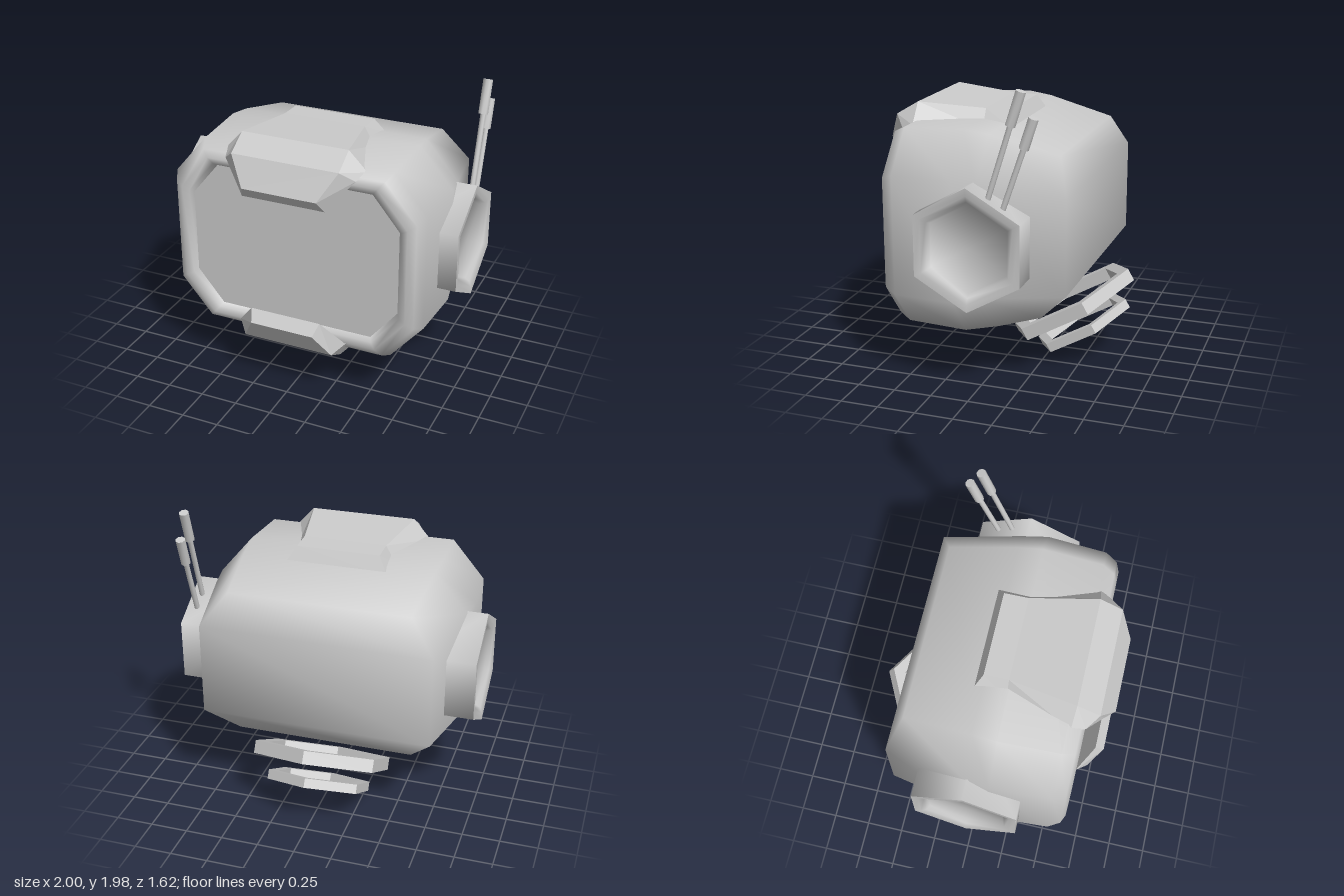
import * as THREE from 'three';
import { toCreasedNormals } from 'three/addons/utils/BufferGeometryUtils.js';

const smooth = new THREE.MeshStandardMaterial({ color: 0xcccccc });
const flat = new THREE.MeshStandardMaterial({ color: 0xcccccc, flatShading: true });

// Skins rings of [x, y, z] points, ordered back to front, counter-clockwise seen from +z.
function loft(rings, caps = []) {
  const n = rings[0].length;
  const index = [...caps];
  for (let i = 0; i < rings.length - 1; i++) {
    for (let j = 0; j < n; j++) {
      const a = i * n + j, b = i * n + (j + 1) % n;
      index.push(a, b, b + n, a, b + n, a + n);
    }
  }
  const g = new THREE.BufferGeometry();
  g.setAttribute('position', new THREE.Float32BufferAttribute(rings.flat(2), 3));
  g.setIndex(index);
  g.computeVertexNormals();
  return g;
}

// Chamfered rectangle; the side, top and bottom corners may sit at different depths.
function octagon(w, top, bot, cx, cy, z, zTop = z, zBot = z) {
  const x = w - cx;
  return [
    [w, bot + cy, z], [w, top - cy, z], [x, top, zTop], [-x, top, zTop],
    [-w, top - cy, z], [-w, bot + cy, z], [-x, bot, zBot], [x, bot, zBot],
  ];
}

function add(parent, name, geometry, material) {
  const mesh = new THREE.Mesh(geometry, material);
  mesh.name = name;
  parent.add(mesh);
  return mesh;
}

// Brim sections: outer z, y, half width, then base z, y, half width
const BRIM = [
  [-0.03, 1.715, 0.28, -0.09, 1.60, 0.35],
  [0.13, 1.72, 0.28, 0.13, 1.60, 0.35],
  [0.57, 1.75, 0.36, 0.56, 1.62, 0.48],
  [0.72, 1.66, 0.36, 0.65, 1.59, 0.44],
  [0.81, 1.48, 0.25, 0.75, 1.40, 0.28],
];

function brimGeometry(flip) {
  const sx = flip ? 0.86 : 1;
  const mapY = y => (flip ? 0.28 + 0.914 * (1.75 - y) : y);
  const rings = BRIM.map(([oz, oy, ow, bz, by, bw]) => {
    const ring = [
      [bw * sx, mapY(by), bz], [ow * sx, mapY(oy), oz],
      [-ow * sx, mapY(oy), oz], [-bw * sx, mapY(by), bz],
    ];
    return flip ? ring.reverse() : ring;
  });
  const e = (rings.length - 1) * 4;
  return loft(rings, [3, 2, 1, 3, 1, 0, e, e + 1, e + 2, e, e + 2, e + 3]);
}

// Tilted hexagonal hoop
function hoop(parent, name, outer, inner, h, y, z) {
  const profile = [[inner, -h], [outer, -h], [outer, h], [inner, h], [inner, -h]];
  const g = new THREE.LatheGeometry(profile.map(p => new THREE.Vector2(...p)), 6);
  const mesh = add(parent, name, g, flat);
  mesh.position.set(0, y, z);
  mesh.rotation.x = Math.PI / 6;
}

// Round rod between two points
function rod(parent, name, from, to, radius) {
  const a = new THREE.Vector3(...from), b = new THREE.Vector3(...to);
  const dir = b.clone().sub(a);
  const g = new THREE.CylinderGeometry(radius, radius, dir.length(), 8);
  const mesh = add(parent, name, toCreasedNormals(g, 1), smooth);
  mesh.position.copy(a).add(b).multiplyScalar(0.5);
  mesh.quaternion.setFromUnitVectors(new THREE.Vector3(0, 1, 0), dir.normalize());
}

export function createModel() {
  const model = new THREE.Group();
  model.name = 'robotHead';

  // Head shell with a rolled rim around the face
  const shell = [
    octagon(0.77, 1.53, 0.46, 0.17, 0.225, -0.56, -0.47, -0.35),
    octagon(0.865, 1.64, 0.385, 0.22, 0.26, -0.02, -0.02, -0.08),
    octagon(0.89, 1.66, 0.335, 0.23, 0.27, 0.14),
    octagon(0.865, 1.645, 0.345, 0.22, 0.26, 0.54),
    octagon(0.825, 1.605, 0.385, 0.21, 0.25, 0.62),
    octagon(0.775, 1.56, 0.43, 0.20, 0.24, 0.645),
    octagon(0.73, 1.52, 0.47, 0.185, 0.225, 0.63),
    octagon(0.71, 1.50, 0.49, 0.18, 0.22, 0.6),
  ];
  add(model, 'headShell', loft(shell,
    [4, 3, 2, 4, 2, 1, 5, 4, 1, 5, 1, 0, 0, 7, 6, 0, 6, 5]), smooth);

  // Flat face panel inside the rim
  const outline = shell[shell.length - 1].map(([x, y]) => new THREE.Vector2(x, y));
  add(model, 'facePanel', new THREE.ShapeGeometry(new THREE.Shape(outline)), smooth)
    .position.z = 0.6;

  // Upper and lower brims
  add(model, 'upperBrim', brimGeometry(false), flat);
  add(model, 'lowerBrim', brimGeometry(true), flat);

  // Hexagonal ear cups with a recessed centre
  const cup = [[0.395, 0.6], [0.395, 1.0], [0.345, 0.998], [0.305, 0.985], [0.285, 0.955], [0, 0.955]];
  const cupGeometry = toCreasedNormals(new THREE.LatheGeometry(
    cup.map(p => new THREE.Vector2(...p)), 6, Math.PI / 2), 1.13);
  for (const s of [1, -1]) {
    const ear = add(model, s > 0 ? 'leftEar' : 'rightEar', cupGeometry, smooth);
    ear.position.y = 0.995;
    ear.rotation.z = -s * Math.PI / 2;
  }

  // Twin antennas on the left ear
  const antennas = [
    [[1.25, -0.10], [1.77, -0.262], [1.98, -0.328]],
    [[1.2, -0.195], [1.64, -0.345], [1.825, -0.405]],
  ];
  antennas.forEach((pts, i) => {
    const antenna = new THREE.Group();
    antenna.name = 'antenna' + (i + 1);
    const [base, neck, tip] = pts.map(([y, z]) => [0.933, y, z]);
    rod(antenna, 'antennaRod', base, neck, 0.018);
    rod(antenna, 'antennaTip', neck, tip, 0.032);
    model.add(antenna);
  });

  // Floating hoops below the head
  hoop(model, 'upperHoop', 0.471, 0.385, 0.043, 0.361, -0.379);
  hoop(model, 'lowerHoop', 0.354, 0.29, 0.031, 0.212, -0.463);

  return model;
}
